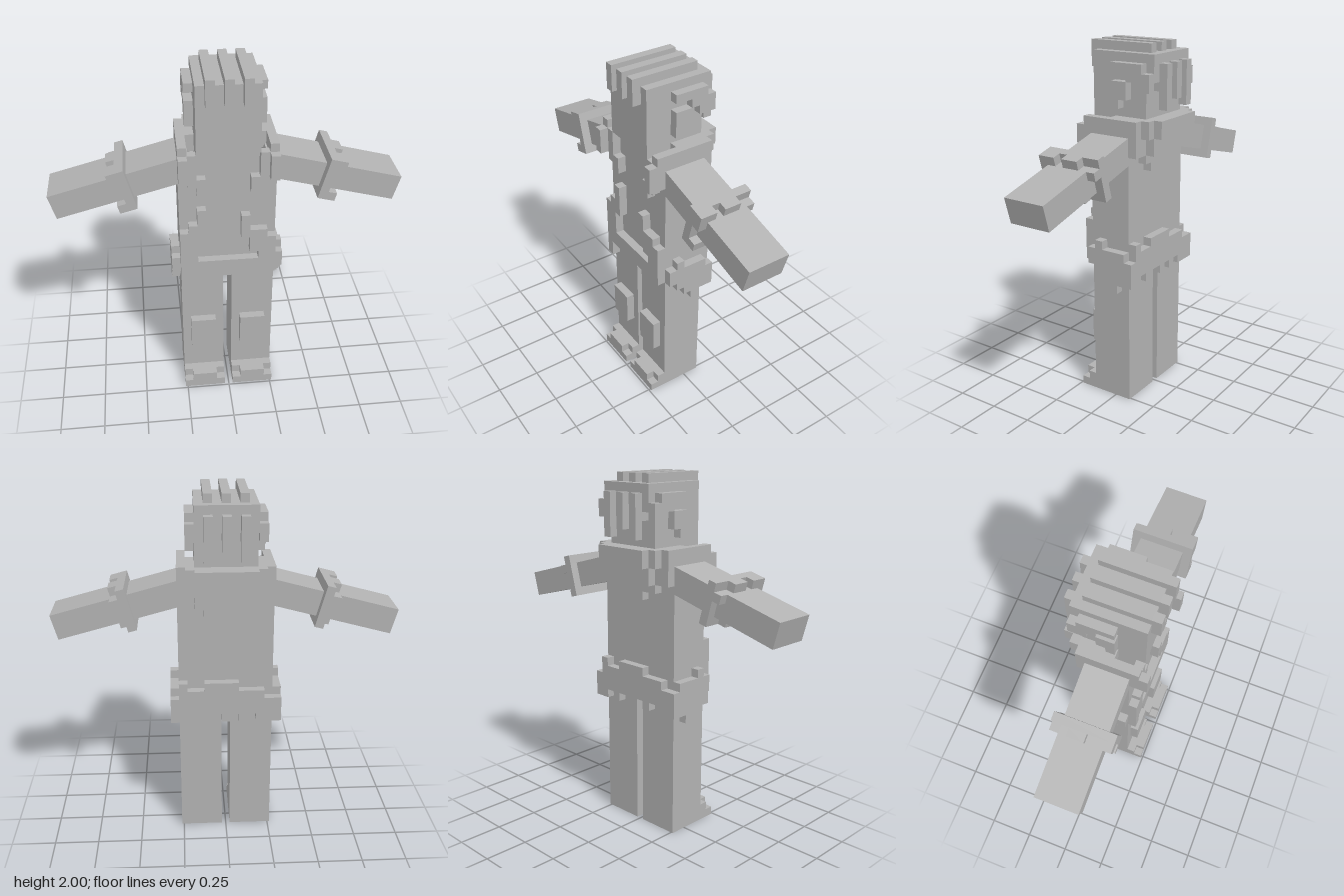
import * as THREE from 'three';

const U = 2 / 42; // size of one block

export function createModel() {
  const model = new THREE.Group();
  const grey = new THREE.MeshStandardMaterial({ color: 0xb2b2b2 });
  grey.name = 'plain grey';

  // box from block coordinates: x range, y range, z range
  const box = (parent, name, x0, x1, y0, y1, z0, z1) => {
    const g = new THREE.BoxGeometry((x1 - x0) * U, (y1 - y0) * U, (z1 - z0) * U);
    const m = new THREE.Mesh(g, grey);
    m.position.set((x0 + x1) / 2 * U, (y0 + y1) / 2 * U, (z0 + z1) / 2 * U);
    m.name = name;
    parent.add(m);
  };
  const part = (name, parent = model) => {
    const g = new THREE.Group();
    g.name = name;
    parent.add(g);
    return g;
  };
  // same box on both sides of the body
  const pair = (parent, name, x0, x1, ...yz) => {
    box(parent, name, x0, x1, ...yz);
    box(parent, name, -x1, -x0, ...yz);
  };

  // torso and neck
  const body = part('body');
  box(body, 'torso', -5.5, 5.5, 16, 31, -2, 3);
  box(body, 'neck', -3.5, 3.5, 31, 33, -2, 3);

  // legs, knee pads, toes
  const legs = part('legs');
  pair(legs, 'leg', 0.5, 5.5, 0, 16, -2, 3);
  pair(legs, 'kneePad', 1.5, 4.5, 6, 10, 3, 4);
  pair(legs, 'toeUpper', 0.5, 5.5, 0, 2, 3, 4);
  pair(legs, 'toeSole', 0.5, 5.5, 0, 1, 4, 5);
  pair(legs, 'toeCap', 1.5, 4.5, 1, 2, 4, 5);

  // waist cloth: front border
  const belt = part('waistCloth');
  box(belt, 'frontHem', -4.5, 5.5, 17, 19, 3, 4);
  [[-5.5, 15, 23], [-4.5, 19, 24], [-3.5, 22, 26], [1.5, 22, 25],
    [2.5, 20, 23], [3.5, 19, 23], [4.5, 19, 22]].forEach(([x, y0, y1]) =>
    box(belt, 'frontBorder', x, x + 1, y0, y1, 3, 4));
  // waist cloth: ragged sides, from front to back
  [[2, 17, 19], [1, 16, 20], [0, 15, 19], [-1, 14, 19], [-2, 15, 19], [-3, 15, 18]].forEach(([z, y0, y1]) =>
    pair(belt, 'sideCloth', 5.5, 6.5, y0, y1, z, z + 1));
  // waist cloth: ragged back
  [[15, 18], [15, 19], [16, 19], [15, 19], [16, 20], [15, 20], [16, 20],
    [16, 20], [15, 19], [16, 19], [15, 20]].forEach(([y0, y1], i) =>
    box(belt, 'backCloth', i - 5.5, i - 4.5, y0, y1, -3, -2));

  // collar and lapels
  const collar = part('collar');
  pair(collar, 'shoulderStrip', 4.5, 5.5, 32, 34, -3, 4);
  pair(collar, 'shoulderInner', 3.5, 4.5, 32, 34, -3, 1);
  pair(collar, 'lapelOuter', 4.5, 5.5, 30, 33, 3, 5);
  pair(collar, 'lapelMiddle', 3.5, 4.5, 29, 33, 3, 4);
  pair(collar, 'lapelInner', 2.5, 3.5, 28, 30, 3, 4);
  box(collar, 'backBase', -5.5, 5.5, 30, 33, -3, -2);
  box(collar, 'backTail', -3.5, 3.5, 29, 30, -3, -2);
  box(collar, 'backTip', -1.5, 2.5, 28, 29, -3, -2);
  box(collar, 'backRim', -4.5, 4.5, 32, 34, -4, -3);
  box(collar, 'backLower', -3.5, 3.5, 30, 32, -4, -3);
  box(collar, 'backEdge', -3.5, 3.5, 32, 34, -5, -4);

  // arms, sloping down, each with a jagged band
  for (const s of [1, -1]) {
    const arm = part(s > 0 ? 'leftArm' : 'rightArm');
    arm.position.set(s * 4.29 * U, 32.49 * U, 0);
    arm.rotation.z = -s * Math.PI / 12;
    const b = (name, x0, x1, ...yz) =>
      box(arm, name, Math.min(s * x0, s * x1), Math.max(s * x0, s * x1), ...yz);
    b('arm', 0, 16, -3, 0, -2, 3);
    [-4, 0].forEach((y) => {
      b('band', 7, 8, y, y + 1, -3, 4);
      b('bandTooth', 8, 9, y, y + 1, -1, 1);
      b('bandTooth', 8, 9, y, y + 1, 2, 4);
    });
    [-3, 3].forEach((z) => {
      b('band', 7, 8, -3, 0, z, z + 1);
      b('bandTooth', 8, 9, -1, 0, z, z + 1);
    });
  }

  // head
  const head = part('headGroup');
  box(head, 'head', -3.5, 3.5, 33, 41, -3, 4);

  // hair ridges with fringe and long back locks
  const hair = part('hair', head);
  [[-2, 35], [0, 36], [2, 35]].forEach(([x, low]) => {
    const a = x - 0.5, c = x + 0.5;
    box(hair, 'topRidge', a, c, 41, 42, -3, 4);
    box(hair, 'fringe', a, c, 39, 41, 4, 5);
    box(hair, 'fringeTop', a, c, 41, 42, 4, 5);
    box(hair, 'backLock', a, c, 37, 41, -4, -3);
    box(hair, 'backLockTip', a, c, low, 40, -5, -4);
  });
  [-3, -1, 1, 3].forEach((x) => box(hair, 'backHair', x - 0.5, x + 0.5, 38, 41, -4, -3));

  // hair on the sides
  pair(hair, 'sideStrip', 3.5, 4.5, 39, 40, -3, 1);
  pair(hair, 'sideStripBack', 3.5, 4.5, 38, 39, -4, -1);
  pair(hair, 'sideTip', 3.5, 4.5, 37, 38, -4, -2);
  pair(hair, 'sideburn', 3.5, 4.5, 35, 38, 0, 1);
  pair(hair, 'sideburnBack', 3.5, 4.5, 36, 38, -1, 0);

  return model;
}
